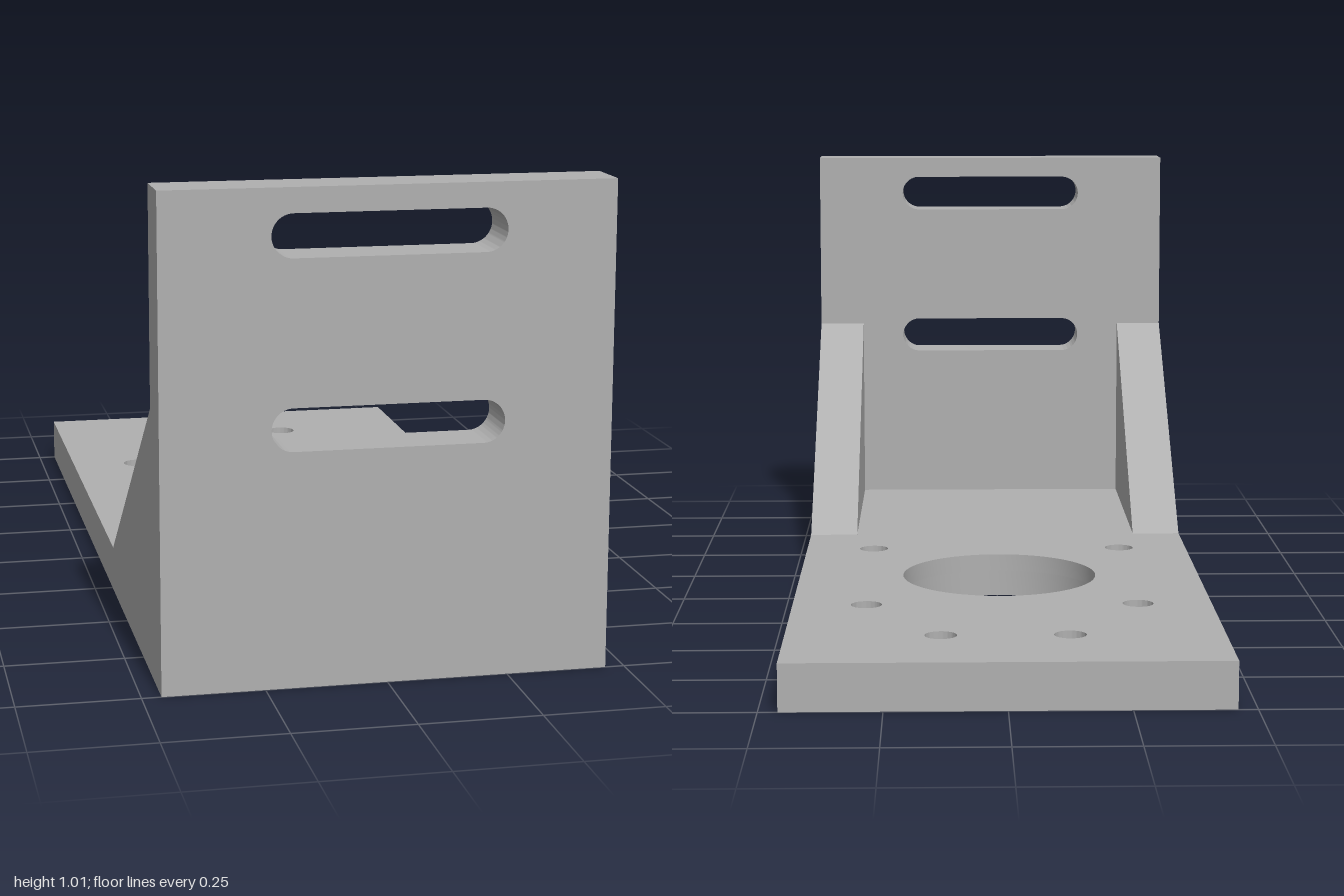
import * as THREE from 'three';
import { toCreasedNormals } from 'three/addons/utils/BufferGeometryUtils.js';

const HALF_W = 0.46, HEIGHT = 1.01, WALL_BACK = 0.885;
const BASE_H = 0.1, BORE_H = 0.06, RIB_W = 0.115;

function rectangle(x0, y0, x1, y1) {
  return new THREE.Shape([[x0, y0], [x1, y0], [x1, y1], [x0, y1]].map(p => new THREE.Vector2(...p)));
}

function circle(x, y, r) {
  return new THREE.Path().absarc(x, y, r, 0, Math.PI * 2, true);
}

// Horizontal slot with round ends
function slot(y, halfLength, r) {
  const c = halfLength - r;
  const path = new THREE.Path();
  path.absarc(c, y, r, -Math.PI / 2, Math.PI / 2, false);
  path.absarc(-c, y, r, Math.PI / 2, Math.PI * 1.5, false);
  path.closePath();
  return path;
}

function extrude(shape, depth) {
  const geometry = new THREE.ExtrudeGeometry(shape, { depth, bevelEnabled: false, curveSegments: 32 });
  return toCreasedNormals(geometry, Math.PI / 6);
}

export function createModel() {
  const group = new THREE.Group();
  const grey = new THREE.MeshStandardMaterial({ color: 0xb0b0b0 });
  grey.name = 'grey metal';

  const add = (name, geometry) => {
    const mesh = new THREE.Mesh(geometry, grey);
    mesh.name = name;
    group.add(mesh);
    return mesh;
  };

  // Base plate in two layers: the lower one has the wider counterbores
  const baseLayer = (name, y, height, boltRadius) => {
    const shape = rectangle(-HALF_W, -WALL_BACK, HALF_W, 1);
    shape.holes.push(circle(0, 0.195, 0.222));
    for (const side of [-1, 1]) {
      shape.holes.push(circle(side * 0.135, 0.775, 0.034));
      for (const z of [-0.495, 0.1]) shape.holes.push(circle(side * 0.298, -z, boltRadius));
    }
    add(name, extrude(shape, height).rotateX(-Math.PI / 2)).position.y = y;
  };
  baseLayer('basePlateLower', 0, BORE_H, 0.064);
  baseLayer('basePlateUpper', BORE_H, BASE_H - BORE_H, 0.034);

  // Upright wall with two slots
  const wall = rectangle(-HALF_W, 0, HALF_W, HEIGHT);
  for (const y of [0.53, 0.915]) wall.holes.push(slot(y, 0.237, 0.044));
  add('slottedWall', extrude(wall, 1 - WALL_BACK)).position.z = WALL_BACK;

  // Triangular ribs along both edges; profile is drawn in (-z, y)
  const rib = new THREE.Shape([
    new THREE.Vector2(-WALL_BACK, BASE_H),
    new THREE.Vector2(-0.27, BASE_H),
    new THREE.Vector2(-WALL_BACK, 0.56),
  ]);
  const ribGeometry = extrude(rib, RIB_W).rotateY(Math.PI / 2);
  add('leftRib', ribGeometry).position.x = HALF_W - RIB_W;
  add('rightRib', ribGeometry).position.x = -HALF_W;

  return group;
}
